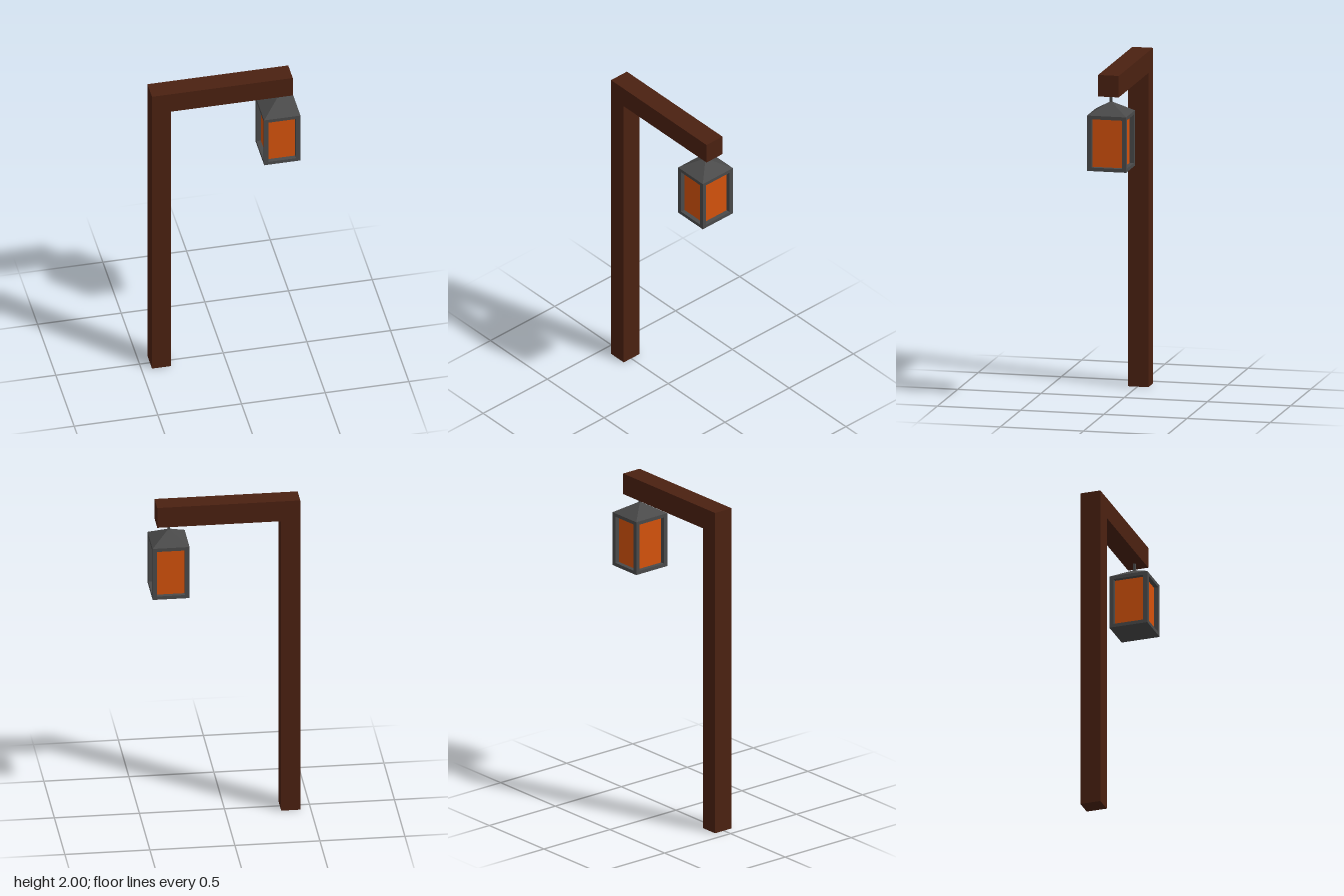
import * as THREE from 'three';

const material = (color) => new THREE.MeshStandardMaterial({ color, flatShading: true });

export function createModel() {
  const model = new THREE.Group();
  const wood = material(0x4b2111);
  const iron = material(0x4a4a4a);
  const amber = material(0xd4520c);

  const add = (parent, name, geometry, mat, x = 0, y = 0, z = 0) => {
    const mesh = new THREE.Mesh(geometry, mat);
    mesh.name = name;
    mesh.position.set(x, y, z);
    parent.add(mesh);
    return mesh;
  };

  // Upright post and overhanging arm as one L-shaped timber
  const outline = new THREE.Shape([
    [-0.438, 0], [-0.326, 0], [-0.326, 1.872], [0.403, 1.872], [0.403, 2], [-0.438, 2],
  ].map(([x, y]) => new THREE.Vector2(x, y)));
  const timber = new THREE.ExtrudeGeometry(outline, { depth: 0.124, bevelEnabled: false });
  add(model, 'postAndArm', timber, wood, 0, 0, -0.066);

  // Lantern, with its origin at the centre of its underside
  const lantern = new THREE.Group();
  lantern.name = 'lantern';
  lantern.position.set(0.328, 1.432, -0.001);
  model.add(lantern);

  const W = 0.217, D = 0.235, H = 0.33, bar = 0.026, plate = 0.021;
  add(lantern, 'basePlate', new THREE.BoxGeometry(W, plate, D), iron, 0, plate / 2);
  add(lantern, 'topPlate', new THREE.BoxGeometry(W, plate, D), iron, 0, H - plate / 2);

  // Corner bars between the plates
  const barHeight = H - 2 * plate;
  for (const sx of [-1, 1]) {
    for (const sz of [-1, 1]) {
      add(lantern, 'cornerBar', new THREE.BoxGeometry(bar, barHeight, bar), iron,
        sx * (W - bar) / 2, H / 2, sz * (D - bar) / 2);
    }
  }

  // Glowing panes set back behind the bars
  add(lantern, 'glass', new THREE.BoxGeometry(W - 2 * bar, barHeight, D - 2 * bar), amber, 0, H / 2);

  // Four-sided roof, cut off where the hanger meets it
  const roofHeight = 0.068;
  const roof = new THREE.CylinderGeometry(0.035 * Math.SQRT1_2, Math.SQRT1_2, roofHeight, 4)
    .rotateY(Math.PI / 4).scale(W, 1, D);
  add(lantern, 'roof', roof, iron, 0, H + roofHeight / 2);

  // Hanger up to the arm
  add(lantern, 'hanger', new THREE.BoxGeometry(0.014, 0.06, 0.014), iron, 0, 0.415);

  return model;
}
